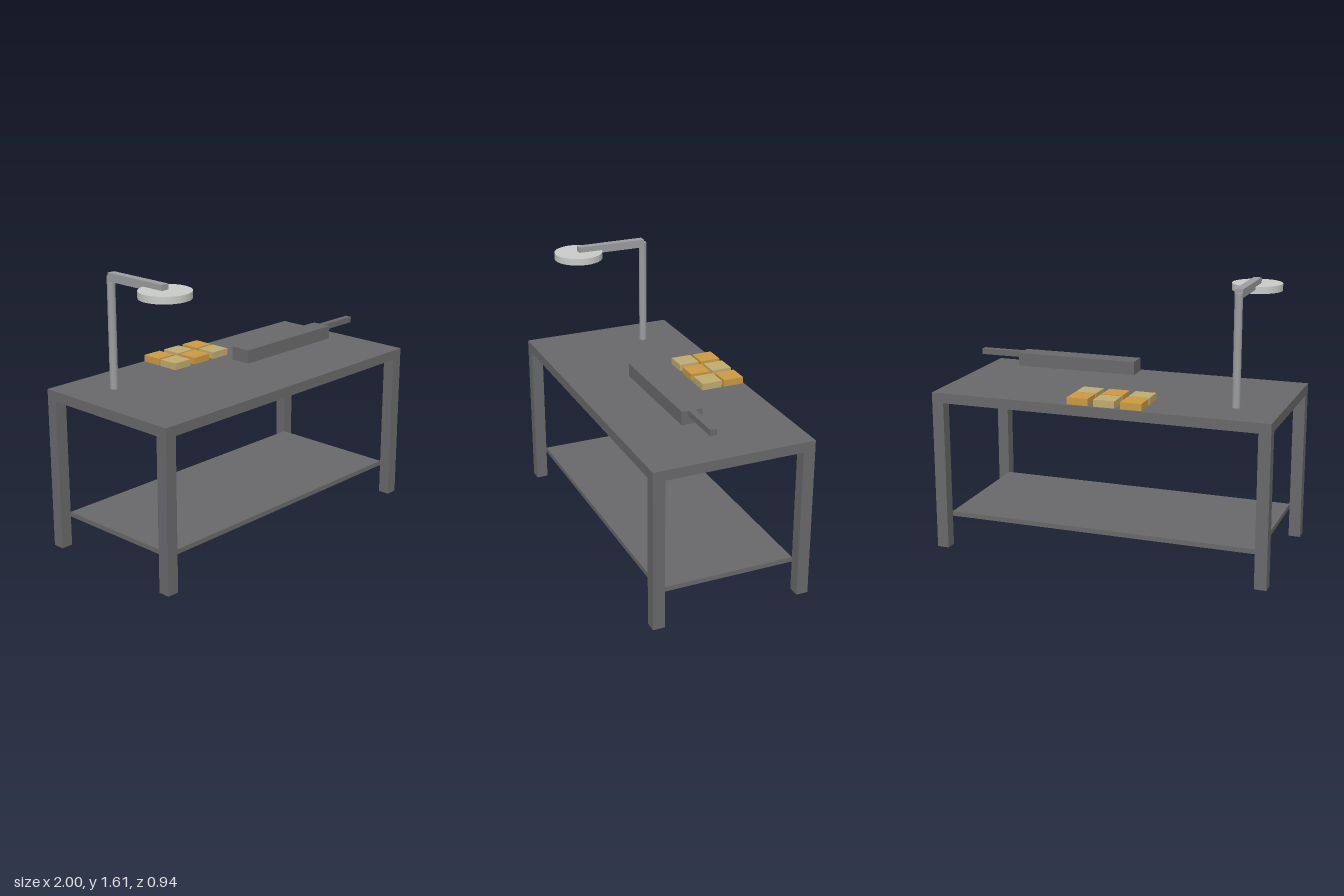
import * as THREE from 'three';

const mat = (name, color) => Object.assign(new THREE.MeshStandardMaterial({ color }), { name });

export function createModel() {
  const group = new THREE.Group();
  const darkSteel = mat('dark steel', 0x69696b);
  const lampMetal = mat('lamp metal', 0x9c9da0);
  const lampShade = mat('lamp shade', 0xc9ccc8);
  const amber = mat('amber', 0xcd9a42);
  const tan = mat('tan', 0xc1ab70);

  const add = (name, geometry, material, x, y, z) => {
    const mesh = new THREE.Mesh(geometry, material);
    mesh.name = name;
    mesh.position.set(x, y, z);
    group.add(mesh);
  };
  // Box given by its extents along each axis
  const box = (name, material, [x0, x1], [y0, y1], [z0, z1]) =>
    add(name, new THREE.BoxGeometry(x1 - x0, y1 - y0, z1 - z0), material,
      (x0 + x1) / 2, (y0 + y1) / 2, (z0 + z1) / 2);

  // Table
  box('tableTop', darkSteel, [-1, 1], [0.887, 0.946], [-0.472, 0.472]);
  box('lowerShelf', darkSteel, [-0.93, 0.93], [0.177, 0.205], [-0.402, 0.402]);
  const leg = new THREE.BoxGeometry(0.07, 0.887, 0.07);
  for (const sx of [-1, 1]) {
    for (const sz of [-1, 1]) {
      add(`${sz > 0 ? 'front' : 'back'}${sx > 0 ? 'Left' : 'Right'}Leg`, leg, darkSteel,
        sx * 0.965, 0.4435, sz * 0.437);
    }
  }

  // Lamp: post, arm and round head
  const lampX = -0.739;
  add('lampPost', new THREE.CylinderGeometry(0.0236, 0.0236, 0.638, 12), lampMetal, lampX, 1.265, -0.211);
  box('lampArm', lampMetal, [lampX - 0.0236, lampX + 0.0236], [1.558, 1.606], [-0.211, 0.211]);
  add('lampHead', new THREE.CylinderGeometry(0.145, 0.145, 0.04, 32), lampShade, lampX, 1.554, 0.211);

  // Hovering bar tool with a slim handle
  box('toolBody', darkSteel, [-0.053, 0.679], [1.016, 1.094], [0.045, 0.166]);
  box('toolHandle', darkSteel, [0.679, 0.942], [1.059, 1.094], [0.087, 0.125]);

  // Checkered set of blocks along the back edge
  const block = new THREE.BoxGeometry(0.123, 0.04, 0.123);
  [-0.264, -0.402].forEach((z, row) => {
    [-0.212, -0.054, 0.103].forEach((x, col) => {
      add('block', block, (row + col) % 2 ? amber : tan, x, 0.968, z);
    });
  });

  return group;
}
